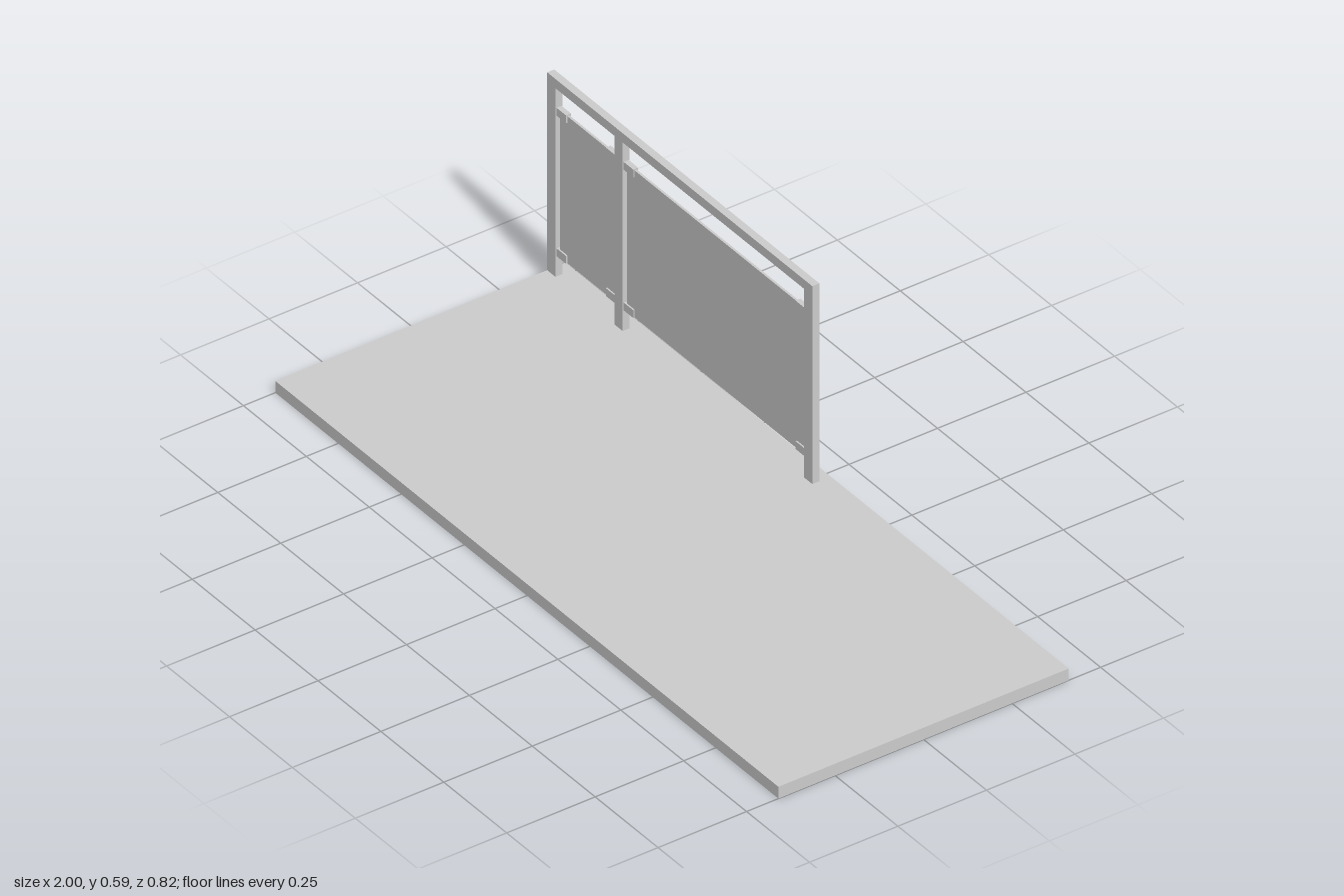
import * as THREE from 'three';

export function createModel() {
  const model = new THREE.Group();
  const material = new THREE.MeshStandardMaterial({ color: 0xcccccc, flatShading: true });

  // Box given by its limits on x and y, and its centre and depth on z
  function addBox(parent, name, x0, x1, y0, y1, z, depth) {
    const mesh = new THREE.Mesh(new THREE.BoxGeometry(x1 - x0, y1 - y0, depth), material);
    mesh.position.set((x0 + x1) / 2, (y0 + y1) / 2, z);
    mesh.name = name;
    parent.add(mesh);
  }

  // Floor slab
  const slabTop = 0.033;
  addBox(model, 'floorSlab', -1, 1, 0, slabTop, 0, 0.82);

  // Railing along the back edge
  const railing = new THREE.Group();
  railing.name = 'railing';
  model.add(railing);
  const z = -0.368, depth = 0.02, postWidth = 0.033;
  const railBottom = 0.563, railTop = 0.589;
  const posts = [-1, -0.733, 0.021];
  posts.forEach((x) => addBox(railing, 'post', x, x + postWidth, slabTop, railBottom, z, depth));
  addBox(railing, 'handrail', -1, 0.054, railBottom, railTop, z, depth);

  // Infill panels, each held by four clamps reaching from the posts
  const gap = 0.008, clampLength = 0.038, clampHeight = 0.022;
  for (let i = 0; i < posts.length - 1; i++) {
    const left = posts[i] + postWidth, right = posts[i + 1];
    addBox(railing, 'panel', left + gap, right - gap, 0.09, 0.503, z, 0.006);
    for (const y of [0.09, 0.485]) {
      addBox(railing, 'clamp', left, left + clampLength, y, y + clampHeight, z, 0.014);
      addBox(railing, 'clamp', right - clampLength, right, y, y + clampHeight, z, 0.014);
    }
  }
  return model;
}
